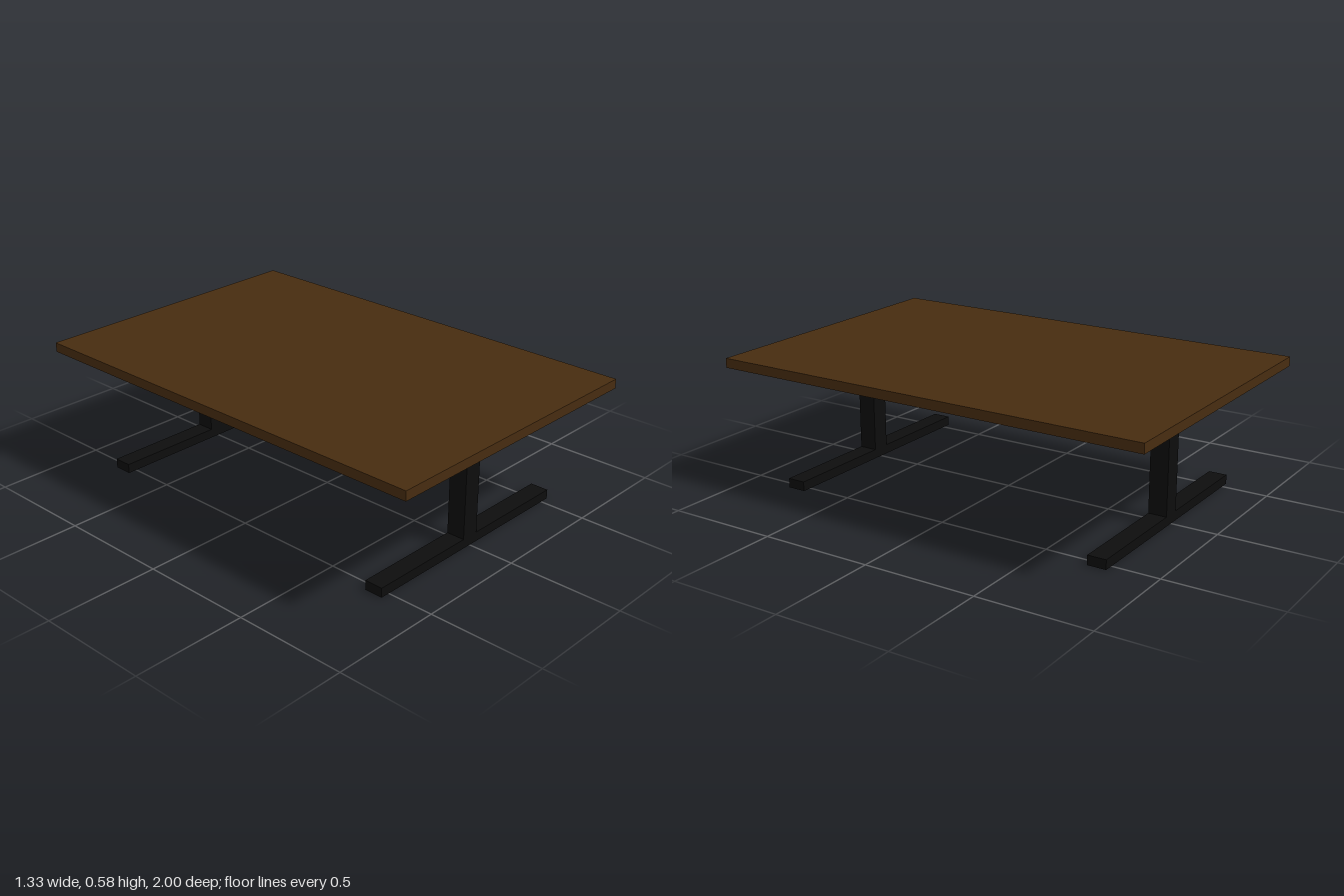
import * as THREE from 'three';

export function createModel() {
  const wood = new THREE.MeshStandardMaterial({ color: 0x472c10 });
  wood.name = 'dark wood';
  const metal = new THREE.MeshStandardMaterial({ color: 0x0d0d0d });
  metal.name = 'black metal';

  const table = new THREE.Group();
  table.name = 'table';

  // Box placed by its bottom height
  function addBox(parent, name, material, width, height, depth, bottom) {
    const mesh = new THREE.Mesh(new THREE.BoxGeometry(width, height, depth), material);
    mesh.name = name;
    mesh.position.y = bottom + height / 2;
    parent.add(mesh);
  }

  // Table top
  addBox(table, 'tableTop', wood, 1.333, 0.042, 2, 0.542);

  // T-shaped supports near both ends
  for (const [name, z] of [['frontSupport', 0.75], ['backSupport', -0.75]]) {
    const support = new THREE.Group();
    support.name = name;
    support.position.z = z;
    addBox(support, 'foot', metal, 1.083, 0.042, 0.083, 0);
    addBox(support, 'post', metal, 0.083, 0.5, 0.083, 0.042);
    table.add(support);
  }

  return table;
}
